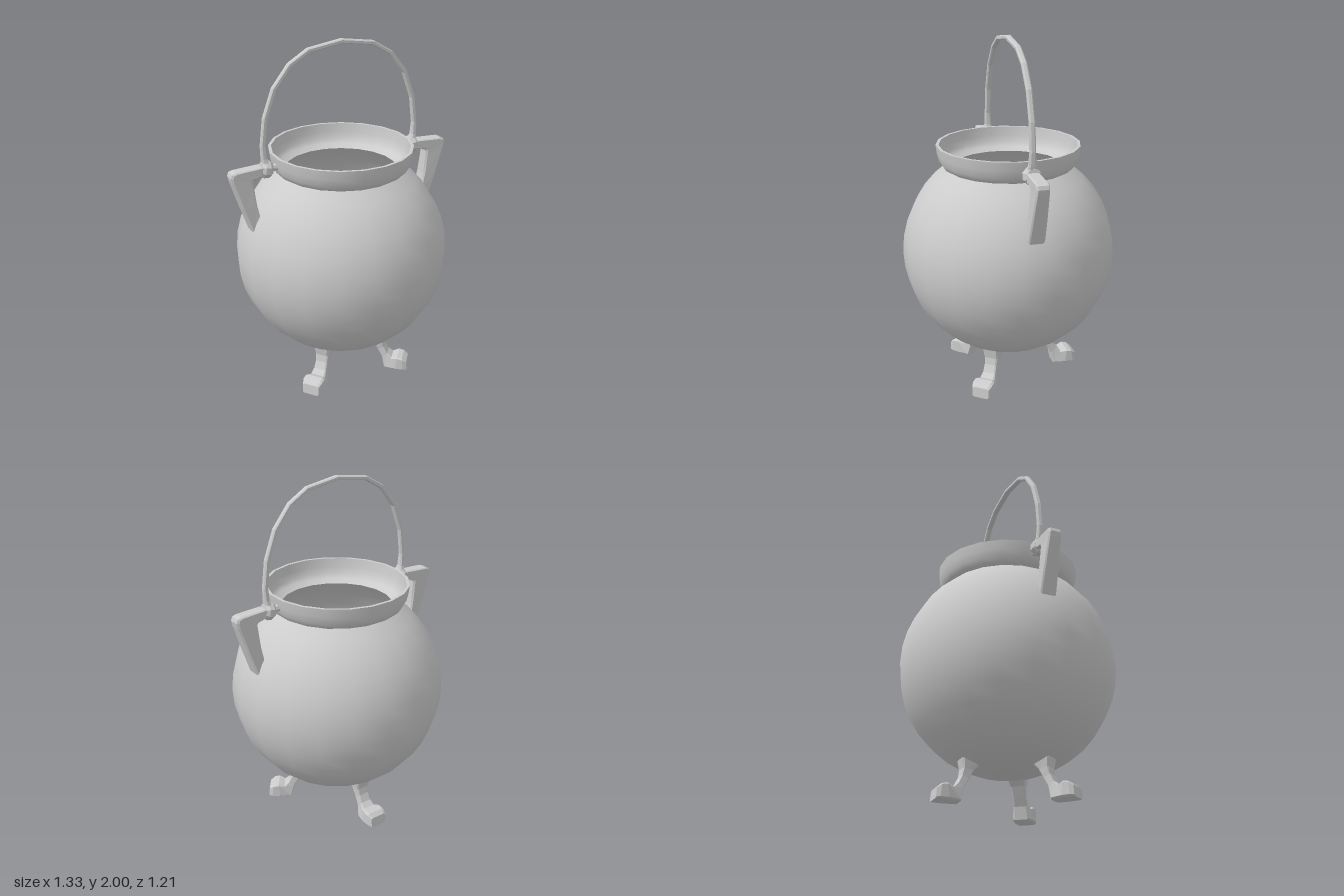
import * as THREE from 'three';

const material = new THREE.MeshStandardMaterial({ color: 0xcccccc });
const V2 = (x, y) => new THREE.Vector2(x, y);

function addMesh(parent, name, geometry, mat = material) {
  const mesh = new THREE.Mesh(geometry, mat);
  mesh.name = name;
  parent.add(mesh);
  return mesh;
}

// Flat-shaded bar in the xy plane with a chamfered box section.
// Each section: [innerX, innerY, outerX, outerY, halfWidth]
function loft(sections, chamfer = 0.2) {
  const k = 1 - chamfer;
  const corners = [[1, -k], [1, k], [k, 1], [-k, 1], [-1, k], [-1, -k], [-k, -1], [k, -1]];
  const n = corners.length;
  const rings = sections.map(([ix, iy, ox, oy, w]) => corners.map(([u, v]) => {
    const t = (u + 1) / 2;
    return [ix + (ox - ix) * t, iy + (oy - iy) * t, v * w];
  }));
  const pos = [];
  const tri = (a, b, c) => pos.push(...a, ...b, ...c);
  for (let i = 0; i < rings.length - 1; i++) {
    for (let j = 0; j < n; j++) {
      const a = rings[i][j], b = rings[i][(j + 1) % n];
      const c = rings[i + 1][(j + 1) % n], d = rings[i + 1][j];
      tri(a, b, c);
      tri(a, c, d);
    }
  }
  const first = rings[0], last = rings[rings.length - 1];
  for (let j = 1; j < n - 1; j++) {
    tri(first[0], first[j + 1], first[j]);
    tri(last[0], last[j], last[j + 1]);
  }
  const g = new THREE.BufferGeometry();
  g.setAttribute('position', new THREE.Float32BufferAttribute(pos, 3));
  g.computeVertexNormals();
  return g;
}

// Round pot part with 20 sides
function turned(points) {
  return new THREE.LatheGeometry(points, 20, THREE.MathUtils.degToRad(9));
}

// Arc of a sphere profile from the bottom pole up to the neck
function bowl(radius, centerY, neckRadius, neckY) {
  const end = Math.atan2(neckRadius, centerY - neckY);
  const pts = [];
  for (let i = 0; i <= 16; i++) {
    const a = end * i / 16;
    pts.push(V2(radius * Math.sin(a), centerY - radius * Math.cos(a)));
  }
  return pts;
}

export function createModel() {
  const model = new THREE.Group();
  model.name = 'cauldron';
  const pot = new THREE.Group();
  pot.name = 'pot';
  pot.rotation.y = THREE.MathUtils.degToRad(2);
  model.add(pot);

  // Bowl, outside and inside
  addMesh(pot, 'bowlOuter', turned(bowl(0.608, 0.775, 0.355, 1.27)));
  addMesh(pot, 'bowlInner', turned(bowl(0.587, 0.775, 0.32, 1.27).reverse()));

  // Flared rim
  addMesh(pot, 'rimOuter', turned([V2(0.352, 1.268), V2(0.373, 1.281), V2(0.39, 1.308), V2(0.401, 1.35), V2(0.407, 1.4)]));
  addMesh(pot, 'rimLip', turned([V2(0.407, 1.4), V2(0.39, 1.4)]));
  addMesh(pot, 'rimInner', turned([V2(0.39, 1.4), V2(0.384, 1.35), V2(0.373, 1.312), V2(0.355, 1.288), V2(0.317, 1.268)]));

  // Three clawed legs
  const legGeometry = loft([
    [0.165, 0.208, 0.275, 0.245, 0.05],
    [0.205, 0.17, 0.265, 0.18, 0.04],
    [0.232, 0.12, 0.272, 0.14, 0.036],
    [0.26, 0.07, 0.292, 0.098, 0.038],
    [0.275, 0.0, 0.32, 0.075, 0.046],
    [0.345, 0.0, 0.355, 0.087, 0.06],
    [0.395, 0.0, 0.385, 0.08, 0.06],
    [0.415, 0.0, 0.41, 0.06, 0.05],
  ]);
  for (const [name, angle] of [['backLeg', 90], ['frontLeftLeg', -38], ['frontRightLeg', 218]]) {
    addMesh(pot, name, legGeometry).rotation.y = THREE.MathUtils.degToRad(angle);
  }

  // Bracket, pin and handle eye on each side
  const bracketGeometry = loft([
    [0.45, 1.318, 0.45, 1.358, 0.03],
    [0.49, 1.31, 0.49, 1.362, 0.035],
    [0.53, 1.3, 0.635, 1.354, 0.036],
    [0.537, 1.295, 0.658, 1.346, 0.036],
    [0.54, 1.285, 0.665, 1.325, 0.036],
    [0.537, 1.255, 0.658, 1.295, 0.037],
    [0.525, 1.15, 0.608, 1.145, 0.042],
    [0.505, 1.055, 0.552, 0.985, 0.046],
  ]);
  const pinGeometry = new THREE.CylinderGeometry(0.022, 0.022, 0.1, 8).toNonIndexed();
  const eyeGeometry = new THREE.LatheGeometry([
    V2(0.018, -0.03), V2(0.038, -0.03), V2(0.05, -0.014), V2(0.05, 0.014), V2(0.038, 0.03), V2(0.018, 0.03),
  ], 8, Math.PI / 8).toNonIndexed();
  for (const g of [pinGeometry, eyeGeometry]) g.computeVertexNormals();
  for (const [side, angle] of [['left', 0], ['right', Math.PI]]) {
    const mount = new THREE.Group();
    mount.name = side + 'Mount';
    mount.rotation.y = angle;
    addMesh(mount, 'bracket', bracketGeometry);
    const pin = addMesh(mount, 'pin', pinGeometry);
    pin.position.set(0.43, 1.34, 0);
    pin.rotation.z = Math.PI / 2;
    const eye = addMesh(mount, 'handleEye', eyeGeometry);
    eye.position.set(0.453, 1.338, 0);
    eye.rotation.z = Math.PI / 2 + 0.15;
    pot.add(mount);
  }

  // Arched carrying handle, mirrored about its top
  const half = [
    [0.437, 1.37, 0.475, 1.37, 0.028],
    [0.448, 1.4, 0.478, 1.4, 0.02],
    [0.454, 1.47, 0.481, 1.47, 0.016],
    [0.437, 1.617, 0.463, 1.623, 0.016],
    [0.383, 1.768, 0.406, 1.78, 0.016],
    [0.295, 1.882, 0.31, 1.902, 0.016],
    [0.188, 1.946, 0.197, 1.97, 0.016],
  ];
  const mirrored = half.map(([ix, iy, ox, oy, w]) => [-ix, iy, -ox, oy, w]);
  addMesh(pot, 'handle', loft([...mirrored, [0, 1.975, 0, 2.0, 0.017], ...half.slice().reverse()], 0.45));

  return model;
}
